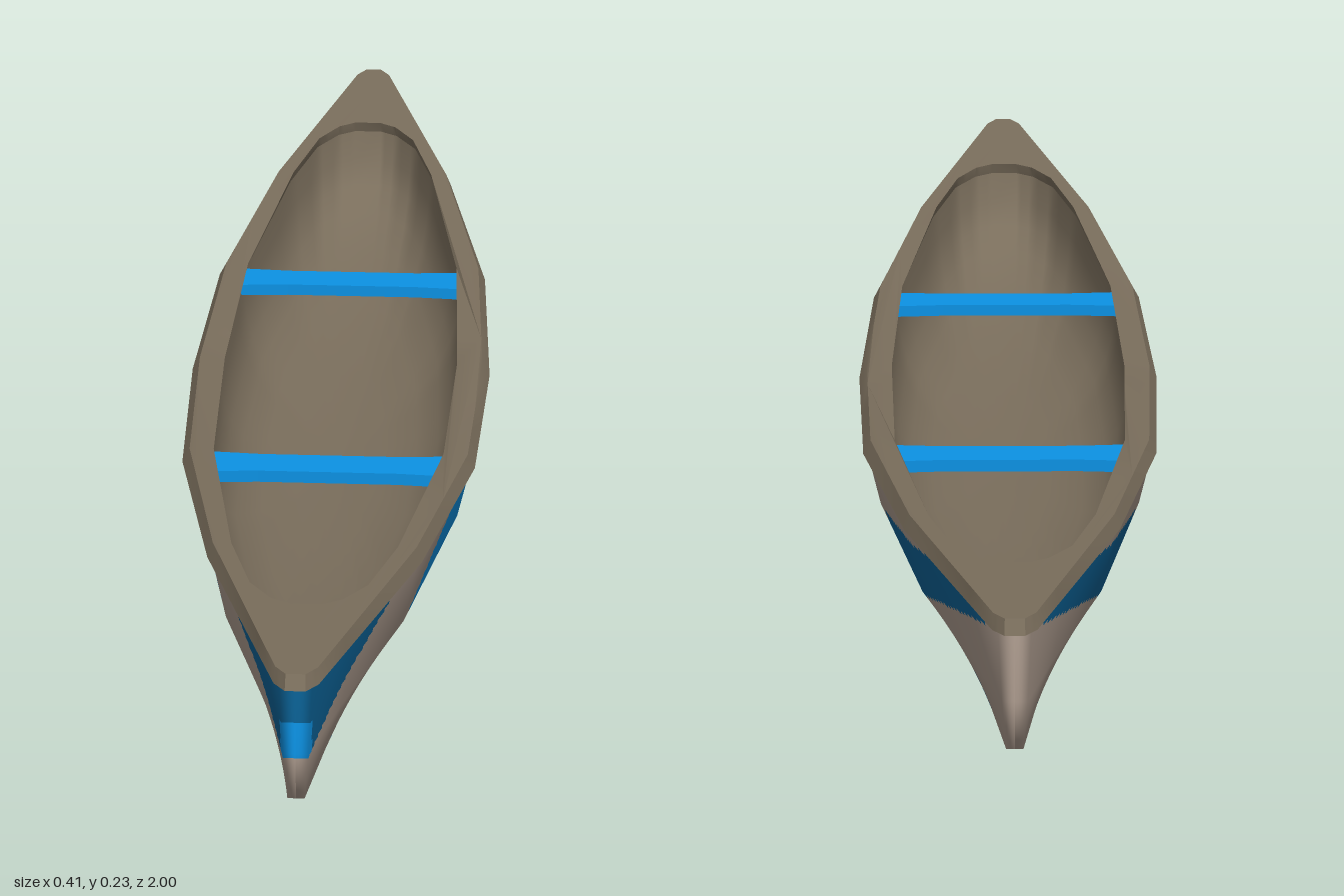
import * as THREE from 'three';
import { toCreasedNormals } from 'three/addons/utils/BufferGeometryUtils.js';

const lerp = THREE.MathUtils.lerp;

// Height of the hull's upper edge along the length
const SHEER = [[0, 0.158], [0.31, 0.167], [0.62, 0.187], [1, 0.212]];
function sheer(z) {
  const a = Math.min(Math.abs(z), 1);
  const i = SHEER.findIndex((p, k) => k > 0 && a <= p[0]);
  const [p, q] = [SHEER[i - 1], SHEER[i]];
  return lerp(p[1], q[1], (a - p[0]) / (q[0] - p[0]));
}

// Closed plan outline from a quarter profile of [z, halfWidth]
function outline(quarter, steps = 4) {
  const half = [];
  quarter.forEach((p, i) => {
    const q = quarter[i + 1];
    if (!q) return half.push(p);
    for (let s = 0; s < steps; s++) half.push([lerp(p[0], q[0], s / steps), lerp(p[1], q[1], s / steps)]);
  });
  const side = [...half.slice(1).reverse().map(([z, x]) => [-z, x]), ...half];
  return [...side, ...side.slice().reverse().map(([z, x]) => [z, -x])].map(([z, x]) => new THREE.Vector2(x, z));
}
const OUTER = outline([[0, 0.203], [0.31, 0.19], [0.62, 0.132], [0.98, 0.026], [1, 0.012]]);
const INNER = outline([[0, 0.167], [0.31, 0.157], [0.62, 0.108], [0.74, 0.075], [0.785, 0.045], [0.8, 0.02]]);

// Painted areas as [z, y] polygons seen from the side; the first match wins
const LIGHT = 1, DARK = 2;
const PAINT = [
  // stem patch
  [LIGHT, [[0.986, 0.125], [1.1, 0.125], [1.1, 0.166], [0.986, 0.166]]],
  // bow triangle
  [DARK, [[1.1, 0.105], [1.1, 0.3], [0.6, 0.3], [0.66, 0.19]]],
  // bow band
  [LIGHT, [[0.95, 0.022], [0.33, 0.166], [0.33, 0.3], [0.1, 0.3], [0.1, 0.165], [0.29, 0.095],
    [0.77, 0.015], [0.77, -0.1], [0.95, -0.1]]],
  // middle chevron
  [DARK, [[0.29, 0.095], [0.1, 0.165], [0.1, 0.3], [-0.27, 0.3], [-0.27, 0.165], [-0.03, 0.1],
    [-0.62, 0.004], [-0.62, -0.1], [-0.3, -0.1], [-0.3, 0.005]]],
  // stern chevron
  [DARK, [[-0.35, 0.105], [-0.75, 0.195], [-0.75, 0.3], [-0.96, 0.3], [-0.96, 0.207], [-0.63, 0.105],
    [-0.93, 0.035], [-0.93, -0.1], [-0.85, -0.1], [-0.85, 0.012]]],
];
function paintAt(z, y) {
  const hit = PAINT.find(([, poly]) => {
    let inside = false;
    poly.forEach(([z1, y1], i) => {
      const [z2, y2] = poly[(i + 1) % poly.length];
      if ((y1 > y) !== (y2 > y) && z < z1 + ((y - y1) / (y2 - y1)) * (z2 - z1)) inside = !inside;
    });
    return inside;
  });
  return hit ? hit[0] : 0;
}

// Hull: few cross-sections, finely divided so the paint edges are clean
function hullGeometry() {
  const frac = [0, 0.31, 0.62, 0.85, 1, 1];
  const rows = [ // keel, bilge, side, edge
    { end: 0.87, x: [0, 0, 0, 0, 0, 0], y: [0, 0.002, 0.005, 0.008, 0.013, 0.013] },
    { end: 0.995, x: [0.115, 0.105, 0.062, 0.026, 0.01, 0], y: [0.035, 0.037, 0.041, 0.05, 0.068, 0.068] },
    { end: 1, x: [0.18, 0.168, 0.11, 0.046, 0.015, 0], y: [0.095, 0.098, 0.105, 0.114, 0.13, 0.13] },
    { end: 0.988, x: [0.197, 0.185, 0.127, 0.062, 0.019, 0], y: [0.16, 0.169, 0.189, 0.202, 0.214, 0.214] },
  ];
  const pos = [], idx = [], W = 7, N = 11;
  for (let i = -5; i <= 5; i++) for (let j = -3; j <= 3; j++) {
    const k = Math.abs(i), r = rows[Math.abs(j)];
    pos.push(Math.sign(j) * r.x[k], r.y[k], Math.sign(i) * frac[k] * r.end);
  }
  for (let i = 0; i < N - 1; i++) for (let j = 0; j < W - 1; j++) {
    const a = i * W + j;
    idx.push(a, a + 1, a + W + 1, a, a + W + 1, a + W);
  }
  const cage = new THREE.BufferGeometry();
  cage.setAttribute('position', new THREE.Float32BufferAttribute(pos, 3));
  cage.setIndex(idx);
  cage.computeVertexNormals();

  const P = [], Nn = [], faces = [[], [], []];
  const at = (attr, a, u, v) => {
    const get = (n) => new THREE.Vector3().fromBufferAttribute(attr, n);
    return get(a).lerp(get(a + 1), v).lerp(get(a + W).lerp(get(a + W + 1), v), u);
  };
  for (let i = 0; i < N - 1; i++) for (let j = 0; j < W - 1; j++) {
    const a = i * W + j, base = P.length / 3, V = 20;
    const U = i === 0 || i === N - 2 ? 4 : 30;
    for (let u = 0; u <= U; u++) for (let v = 0; v <= V; v++) {
      P.push(...at(cage.attributes.position, a, u / U, v / V).toArray());
      Nn.push(...at(cage.attributes.normal, a, u / U, v / V).normalize().toArray());
    }
    for (let u = 0; u < U; u++) for (let v = 0; v < V; v++) {
      const c = at(cage.attributes.position, a, (u + 0.5) / U, (v + 0.5) / V);
      const b = base + u * (V + 1) + v, d = b + V + 1;
      faces[paintAt(c.z, c.y)].push(b, b + 1, d + 1, b, d + 1, d);
    }
  }
  const g = new THREE.BufferGeometry();
  g.setAttribute('position', new THREE.Float32BufferAttribute(P, 3));
  g.setAttribute('normal', new THREE.Float32BufferAttribute(Nn, 3));
  g.setIndex(faces.flat());
  let start = 0;
  faces.forEach((f, m) => {
    g.addGroup(start, f.length, m);
    start += f.length;
  });
  return g;
}

// Gunwale and end decks: one plate with an opening, bent along the sheer, its outer side sloping in
function deckGeometry() {
  const shape = new THREE.Shape(OUTER);
  shape.holes.push(new THREE.Path(INNER));
  const g = new THREE.ExtrudeGeometry(shape, { depth: 0.018, bevelEnabled: false });
  const p = g.attributes.position;
  for (let i = 0; i < p.count; i++) {
    const x = p.getX(i), z = -p.getY(i), h = p.getZ(i);
    const top = h > 0.01;
    p.setXYZ(i, top ? x * 0.95 : x, sheer(z) + h, top ? z * 0.992 : z);
  }
  return toCreasedNormals(g, 0.6);
}

// Cockpit: the opening shrunk in rings down to the floor
function cockpitGeometry() {
  const rings = [[1, 1], [0.985, 0.8], [0.955, 0.64], [0.9, 0.5], [0.8, 0.36], [0.62, 0.24], [0.35, 0.17], [0, 0.15]];
  const n = INNER.length, pos = [], idx = [];
  rings.forEach(([s, h], k) => INNER.forEach((q, i) => {
    pos.push(q.x * s, (sheer(q.y * s) + (k === 0 ? 0.004 : 0)) * h, q.y * s);
    if (k === rings.length - 1) return;
    const a = k * n + i, b = k * n + ((i + 1) % n);
    idx.push(a, a + n, b, b, a + n, b + n);
  }));
  const g = new THREE.BufferGeometry();
  g.setAttribute('position', new THREE.Float32BufferAttribute(pos, 3));
  g.setIndex(idx);
  g.computeVertexNormals();
  return g;
}

// Cross brace, slightly waisted in the middle
function thwartGeometry() {
  const s = new THREE.Shape([
    [-0.16, -0.03], [-0.09, -0.025], [0.09, -0.025], [0.16, -0.03],
    [0.16, 0.03], [0.09, 0.025], [-0.09, 0.025], [-0.16, 0.03],
  ].map(([x, y]) => new THREE.Vector2(x, y)));
  return new THREE.ExtrudeGeometry(s, { depth: 0.016, bevelEnabled: false }).rotateX(-Math.PI / 2);
}

export function createModel() {
  const mat = (name, color) => Object.assign(new THREE.MeshStandardMaterial({ color }), { name });
  const tan = mat('hullTan', 0xaa998c);
  const lightBlue = mat('lightBlue', 0x0c92e4);
  const darkBlue = mat('darkBlue', 0x0a6093);
  const brown = mat('deckBrown', 0x7a6e5c);

  const group = new THREE.Group();
  group.name = 'canoe';
  const add = (name, geometry, material) => {
    const m = new THREE.Mesh(geometry, material);
    m.name = name;
    group.add(m);
    return m;
  };
  add('hull', hullGeometry(), [tan, lightBlue, darkBlue]);
  add('gunwaleAndDecks', deckGeometry(), brown);
  add('cockpit', cockpitGeometry(), brown);
  for (const [name, z] of [['frontThwart', 0.305], ['rearThwart', -0.305]]) {
    add(name, thwartGeometry(), lightBlue).position.set(0, 0.15, z);
  }
  return group;
}
